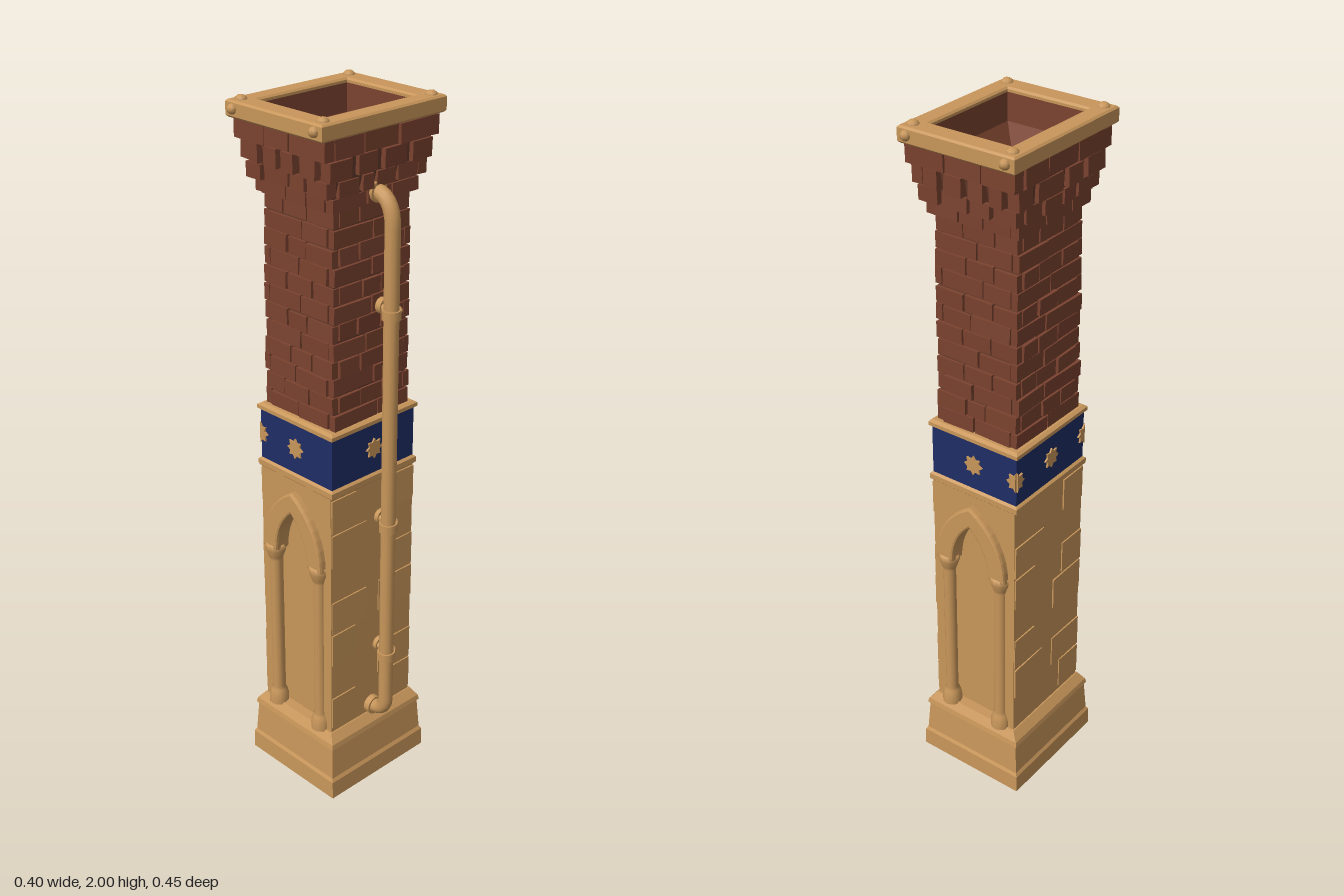
import * as THREE from 'three';
import { mergeGeometries } from 'three/addons/utils/BufferGeometryUtils.js';

const CX = -0.027; // the tower axis sits left of centre, the pipe balances it

const mat = (name, color) => {
  const m = new THREE.MeshStandardMaterial({ color });
  m.name = name;
  return m;
};

// Small seeded generator, returns -1..1
let seed = 7;
const rnd = () => {
  seed = (seed * 16807) % 2147483647;
  return (seed / 2147483647) * 2 - 1;
};

// Rectangular rings [y, halfX, halfZ, shiftX] joined by flat walls, with optional end caps
function loft(rings, capStart = true, capEnd = true) {
  const pos = [];
  const corners = ([y, hx, hz, s = 0]) =>
    [[-1, 1], [1, 1], [1, -1], [-1, -1]].map(([a, b]) => [a * hx + s, y, b * hz]);
  const quad = (a, b, c, d) => pos.push(...a, ...b, ...c, ...a, ...c, ...d);
  const cs = rings.map(corners);
  for (let i = 0; i < cs.length - 1; i++)
    for (let k = 0; k < 4; k++) {
      const n = (k + 1) % 4;
      quad(cs[i][k], cs[i][n], cs[i + 1][n], cs[i + 1][k]);
    }
  if (capStart) quad(...[...cs[0]].reverse());
  if (capEnd) quad(...cs[cs.length - 1]);
  const g = new THREE.BufferGeometry();
  g.setAttribute('position', new THREE.Float32BufferAttribute(pos, 3));
  g.computeVertexNormals();
  return g;
}

// One course of bricks round a rectangle; corners interlock from course to course
function course(y, h, hx, hz, depth, n, odd, gap = 0.005) {
  const out = [];
  for (let k = 0; k < 4; k++) {
    const along = k % 2 ? hz : hx, face = k % 2 ? hx : hz;
    const half = (k % 2 === 1) === odd ? along : along - depth;
    const cuts = [-half];
    for (let i = 1; i < n; i++) cuts.push(-half + (2 * half * (i + rnd() * 0.2)) / n);
    cuts.push(half);
    for (let i = 0; i < n; i++) {
      const g = new THREE.BoxGeometry(cuts[i + 1] - cuts[i] - gap, h - 0.005, depth);
      g.rotateY(rnd() * 0.03).rotateX(rnd() * 0.04);
      g.translate((cuts[i] + cuts[i + 1]) / 2, y + h / 2 + rnd() * 0.002, face - depth / 2 + rnd() * 0.003);
      out.push(g.rotateY((k * Math.PI) / 2));
    }
  }
  return out;
}

// Pointed arch outline with straight legs
function archPath(path, w, foot, spring, apex) {
  path.moveTo(-w, foot);
  path.lineTo(w, foot);
  path.lineTo(w, spring);
  path.quadraticCurveTo(w * 0.95, spring + (apex - spring) * 0.65, 0, apex);
  path.quadraticCurveTo(-w * 0.95, spring + (apex - spring) * 0.65, -w, spring);
  path.lineTo(-w, foot);
  return path;
}

const rectPath = (path, hx, hz, s = 0) => path.setFromPoints(
  [[-1, -1], [1, -1], [1, 1], [-1, 1], [-1, -1]].map(([a, b]) => new THREE.Vector2(a * hx + s, b * hz)));

// Eight-pointed star, or the right half of one
function starGeometry(half) {
  const pts = [];
  const steps = half ? 8 : 15;
  for (let i = 0; i <= steps; i++) {
    const a = -Math.PI / 2 + (i * Math.PI) / 8, r = i % 2 ? 0.02 : 0.03;
    pts.push(new THREE.Vector2(Math.cos(a) * r, Math.sin(a) * r));
  }
  return new THREE.ExtrudeGeometry(new THREE.Shape(pts), { depth: 0.007, bevelEnabled: false });
}

export function createModel() {
  const stone = mat('sandstone', 0xc8965a);
  const brick = mat('brick', 0x7a422f);
  const mortar = mat('mortar', 0x633a2b);
  const blue = mat('blue', 0x1f2d66);

  const model = new THREE.Group();
  const tower = new THREE.Group();
  tower.name = 'tower';
  tower.position.x = CX;
  model.add(tower);
  const add = (parent, name, geo, material, x = 0, y = 0, z = 0) => {
    const m = new THREE.Mesh(geo, material);
    m.name = name;
    m.position.set(x, y, z);
    parent.add(m);
    return m;
  };

  // Stepped plinth
  add(tower, 'plinth', loft([[0, 0.173, 0.187], [0.055, 0.172, 0.186], [0.065, 0.166, 0.181],
    [0.16, 0.16, 0.175], [0.165, 0.165, 0.18], [0.18, 0.162, 0.177], [0.205, 0.142, 0.162]]), stone);

  // Stone shaft with a sunken arched niche front and back
  add(tower, 'shaftCore', loft([[0.2, 0.138, 0.132], [0.98, 0.138, 0.132]]), stone);
  for (const [side, turn] of [['front', 0], ['back', Math.PI]]) {
    const face = new THREE.Group();
    face.name = side + 'Arch';
    face.rotation.y = turn;
    tower.add(face);
    const panel = rectPath(new THREE.Shape(), 0.138, 0.39);
    panel.holes.push(archPath(new THREE.Path(), 0.085, -0.385, 0.14, 0.32));
    add(face, 'nichePanel', new THREE.ExtrudeGeometry(panel, { depth: 0.026, bevelEnabled: false, curveSegments: 8 }),
      stone, 0, 0.59, 0.131);
    // Arch moulding above the capitals, as a band between two pointed curves
    const band = new THREE.Shape();
    band.moveTo(0.112, 0.74);
    band.quadraticCurveTo(0.108, 0.87, 0, 0.935);
    band.quadraticCurveTo(-0.108, 0.87, -0.112, 0.74);
    band.lineTo(-0.068, 0.74);
    band.quadraticCurveTo(-0.064, 0.83, 0, 0.885);
    band.quadraticCurveTo(0.064, 0.83, 0.068, 0.74);
    add(face, 'archMoulding', new THREE.ExtrudeGeometry(band, { depth: 0.038, bevelThickness: 0.008,
      bevelSize: 0.006, bevelSegments: 2, curveSegments: 8 }), stone, 0, 0, 0.133);
    for (const s of [-1, 1]) {
      const profile = [[0.029, 0.2], [0.029, 0.225], [0.023, 0.245], [0.018, 0.255], [0.018, 0.69],
        [0.021, 0.7], [0.03, 0.725], [0.03, 0.745], [0, 0.745]].map(([r, y]) => new THREE.Vector2(r, y));
      add(face, 'column', new THREE.LatheGeometry(profile, 12), stone, s * 0.09, 0, 0.154);
    }
  }

  // Slightly raised stone blocks on both sides
  for (const s of [-1, 1])
    for (let row = 0; row < 7; row++)
      for (let col = 0; col < 2; col++) {
        if ((row + col + (s > 0 ? 1 : 0)) % 3 === 0) continue;
        const w = row % 2 ? 0.13 : 0.09;
        const block = add(tower, 'sideBlock', new THREE.BoxGeometry(0.008, 0.1, w), stone,
          s * 0.138, 0.27 + row * 0.107, (col ? 1 : -1) * (0.155 - w / 2));
        block.rotation.y = rnd() * 0.02;
      }

  // Painted band between two stone trims
  const trim = (y, h) => loft([[y, 0.138, 0.152], [y + h * 0.25, 0.147, 0.16], [y + h * 0.75, 0.147, 0.16], [y + h, 0.138, 0.15]]);
  add(tower, 'lowerTrim', trim(0.965, 0.032), stone);
  add(tower, 'paintedBand', loft([[0.99, 0.14, 0.153], [1.145, 0.14, 0.153]]), blue);
  add(tower, 'upperTrim', trim(1.138, 0.022), stone);

  // Stars in the middle of each side, and folded round the two right-hand corners
  const star = starGeometry(false), halfStar = starGeometry(true);
  for (let k = 0; k < 4; k++) {
    const g = new THREE.Group();
    g.name = 'starSide';
    g.rotation.y = (k * Math.PI) / 2;
    g.position.y = 1.07;
    tower.add(g);
    const out = k % 2 ? 0.138 : 0.151, edge = k % 2 ? 0.153 : 0.14;
    add(g, 'star', star, stone, 0, 0, out);
    if (k === 0 || k === 3) add(g, 'cornerStar', halfStar, stone, -edge, 0, out);
    if (k === 2 || k === 3) add(g, 'cornerStar', halfStar, stone, edge, 0, out).scale.x = -1;
  }

  // Brick stack in interlocking courses over a mortar core
  add(tower, 'mortarCore', loft([[1.15, 0.124, 0.132], [1.75, 0.122, 0.128], [1.79, 0.137, 0.145],
    [1.83, 0.147, 0.162], [1.89, 0.15, 0.172], [1.95, 0.158, 0.184]], false, false), mortar);
  const bricks = [];
  for (let i = 0; i < 12; i++) {
    const t = i / 12;
    bricks.push(...course(1.155 + i * 0.05, 0.05, 0.131 - t * 0.002, 0.14 - t * 0.005, 0.02, 2 + (i % 2), i % 2 === 0));
  }
  add(tower, 'brickStack', mergeGeometries(bricks), brick);

  // Corbelled crown, with one course of spaced bricks
  const crown = [
    ...course(1.75, 0.04, 0.142, 0.151, 0.025, 3, true),
    ...course(1.79, 0.045, 0.153, 0.172, 0.03, 4, false, 0.012),
    ...course(1.835, 0.055, 0.162, 0.187, 0.032, 4, true, 0.022),
    ...course(1.89, 0.055, 0.168, 0.196, 0.032, 3, false)];
  add(tower, 'brickCrown', mergeGeometries(crown), brick);

  // Inside of the flue, narrowing to a closed bottom
  add(tower, 'flueLining', loft([[1.975, 0.121, 0.153], [1.9, 0.12, 0.152], [1.8, 0.072, 0.106, -0.008],
    [1.6, 0.07, 0.104, -0.008]], false, true), brick);

  // Stone cap with studs at its corners
  const cap = rectPath(new THREE.Shape(), 0.168, 0.207);
  cap.holes.push(rectPath(new THREE.Path(), 0.126, 0.158));
  const capGeo = new THREE.ExtrudeGeometry(cap, { depth: 0.034, bevelThickness: 0.005, bevelSize: 0.005, bevelSegments: 1 });
  add(tower, 'cap', capGeo.rotateX(-Math.PI / 2), stone, 0, 1.948, 0);
  for (const x of [-1, 1])
    for (const z of [-1, 1]) {
      const top = add(tower, 'capTopStud', new THREE.SphereGeometry(0.017, 8, 6), stone, x * 0.146, 1.985, z * 0.184);
      top.scale.y = 0.8;
      add(tower, 'capSideStud', new THREE.SphereGeometry(0.014, 8, 6), stone, x * 0.146, 1.967, z * 0.213);
    }

  // Downpipe, bent into the wall at both ends
  const pipe = new THREE.Group();
  pipe.name = 'downpipe';
  model.add(pipe);
  const v = (x, y) => new THREE.Vector3(x, y, 0);
  const path = new THREE.CurvePath();
  path.add(new THREE.LineCurve3(v(0.09, 1.78), v(0.115, 1.78)));
  path.add(new THREE.QuadraticBezierCurve3(v(0.115, 1.78), v(0.172, 1.775), v(0.172, 1.7)));
  path.add(new THREE.LineCurve3(v(0.172, 1.7), v(0.172, 0.28)));
  path.add(new THREE.QuadraticBezierCurve3(v(0.172, 0.28), v(0.172, 0.235), v(0.125, 0.23)));
  path.add(new THREE.LineCurve3(v(0.125, 0.23), v(0.1, 0.23)));
  add(pipe, 'pipe', new THREE.TubeGeometry(path, 120, 0.021, 12), stone);
  const disc = (r, h) => new THREE.CylinderGeometry(r, r, h, 12).rotateZ(Math.PI / 2);
  add(pipe, 'upperFlange', disc(0.028, 0.02), stone, 0.115, 1.78, 0);
  add(pipe, 'lowerFlange', disc(0.028, 0.02), stone, 0.12, 0.23, 0);

  // Brackets: collar, arm and wall plate
  for (const y of [1.47, 0.85, 0.43]) {
    add(pipe, 'collar', new THREE.CylinderGeometry(0.026, 0.026, 0.026, 12), stone, 0.172, y, 0);
    add(pipe, 'bracketArm', disc(0.01, 0.08), stone, 0.135, y, -0.02);
    add(pipe, 'wallPlate', disc(0.022, 0.018), stone, 0.115, y, -0.028);
    add(pipe, 'collarBolt', new THREE.SphereGeometry(0.012, 8, 6), stone, 0.165, y, -0.032);
  }
  return model;
}
